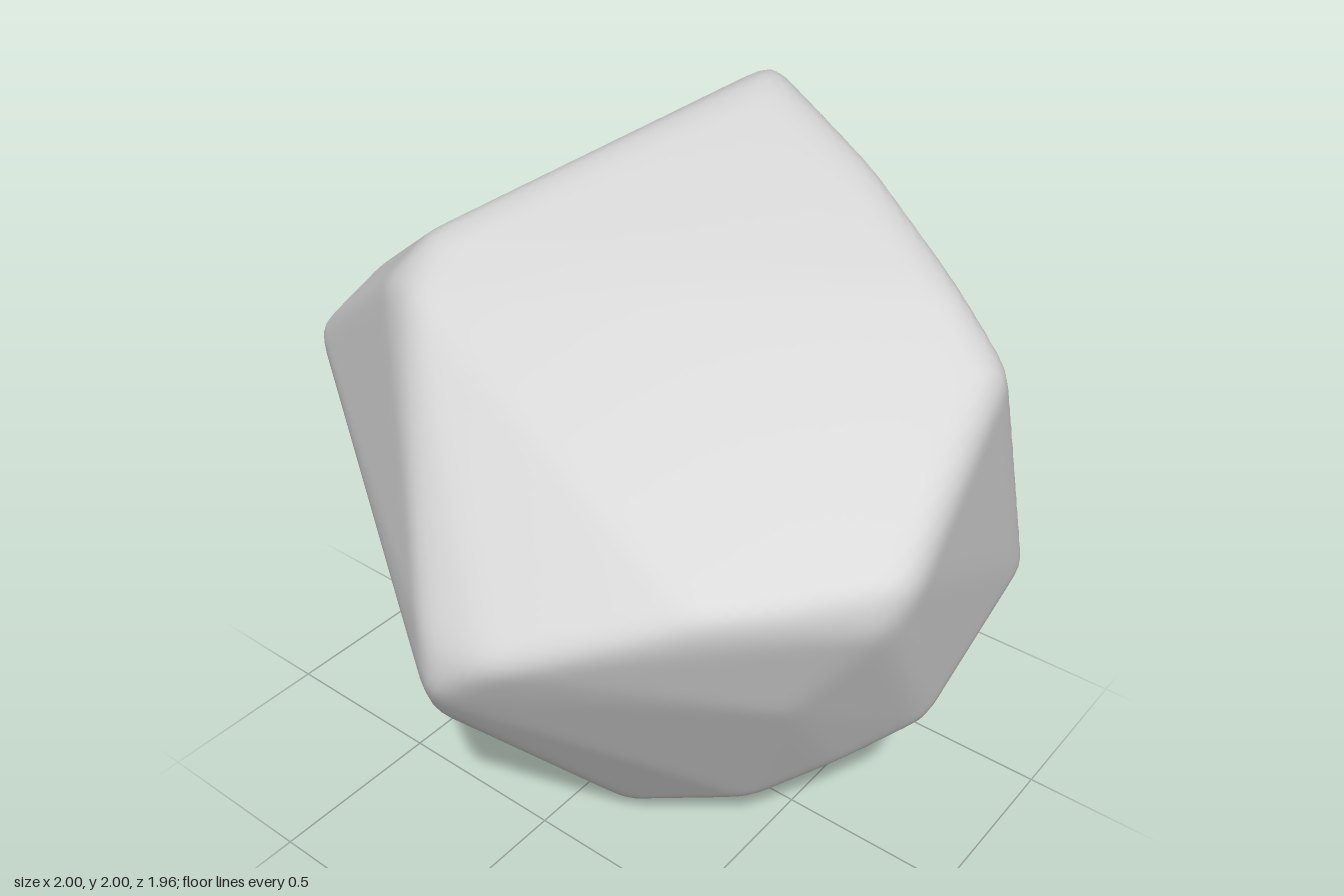
import * as THREE from 'three';
import { ConvexGeometry } from 'three/addons/geometries/ConvexGeometry.js';
import { mergeVertices } from 'three/addons/utils/BufferGeometryUtils.js';

// Corners of the cut boulder
const corners = [
  [0.24, 2.01, 0.16], [0.31, 2.0, 0.12],                        // peak
  [0.22, 1.84, 0.49], [0.14, 1.66, 0.78],                       // front ridge below the peak
  [-0.48, 1.73, -0.28], [-0.57, 1.62, -0.35], [-0.6, 1.63, -0.25], // upper left
  [0.65, 1.76, -0.18], [0.82, 1.65, -0.17], [0.88, 1.55, -0.18], // upper right
  [-0.35, 1.21, -0.9], [-0.1, 1.31, -0.9], [0.15, 1.38, -0.8],  // back upper edge
  [0.3, 0.87, -0.98], [0.38, 0.84, -0.91], [-0.1, 0.8, -0.97],  // back
  [-0.1, 0.54, -0.95], [-0.25, 0.58, -0.9],
  [1.01, 1.05, -0.28], [0.96, 1.0, -0.36],                      // right
  [0.97, 0.75, 0.12], [0.93, 0.59, 0.27], [0.83, 0.46, 0.42],
  [0.1, 1.54, 0.93], [-0.33, 1.2, 0.98], [-0.39, 1.1, 0.95],    // front
  [0.38, 0.82, 0.92], [-0.08, 0.61, 0.92],
  [-0.65, 1.13, 0.65], [-0.45, 0.8, 0.75],                      // front left
  [-0.2, 0.45, 0.74], [-0.25, 0.23, 0.53],
  [-1.01, 0.91, 0.15], [-0.96, 1.01, 0.28], [-0.98, 1.04, 0.12], // left
  [-0.95, 0.8, 0.1],
  [-0.52, 0.27, -0.36], [-0.26, 0.09, -0.37],                   // underside
  [-0.36, 0.1, 0.2], [-0.12, -0.01, 0.06], [-0.2, 0.01, 0.08],
];

// Outward planes of the hull, each scaled so that normal . point = 1
function hullPlanes() {
  const hull = new ConvexGeometry(corners.map(([x, y, z]) => new THREE.Vector3(x, y - 1, z)));
  const p = hull.attributes.position, planes = [], tri = new THREE.Triangle(), plane = new THREE.Plane();
  for (let i = 0; i < p.count; i += 3) {
    tri.setFromAttributeAndIndices(p, i, i + 1, i + 2);
    tri.getPlane(plane);
    if (Math.abs(plane.constant) > 1e-3) planes.push(plane.normal.clone().divideScalar(-plane.constant));
  }
  return planes;
}

function boulderGeometry(blur) {
  const planes = hullPlanes();
  const inverseRadius = (d) => planes.reduce((m, n) => Math.max(m, n.dot(d)), 0);
  let geo = new THREE.IcosahedronGeometry(1, 44);
  geo.deleteAttribute('normal');
  geo.deleteAttribute('uv');
  geo = mergeVertices(geo, 1e-4);
  const p = geo.attributes.position;
  const dir = new THREE.Vector3(), u = new THREE.Vector3(), v = new THREE.Vector3(), s = new THREE.Vector3();

  // Average the hull over a small ring around each direction to round its edges
  for (let i = 0; i < p.count; i++) {
    dir.fromBufferAttribute(p, i).normalize();
    u.set(0, 0, 0).setComponent(Math.abs(dir.y) < 0.7 ? 1 : 0, 1).cross(dir).normalize();
    v.crossVectors(dir, u);
    let sum = 2 * inverseRadius(dir);
    for (let k = 0; k < 10; k++) {
      const a = (k / 10) * Math.PI * 2, r = k % 2 ? blur : blur / 2;
      s.copy(dir).addScaledVector(u, r * Math.cos(a)).addScaledVector(v, r * Math.sin(a)).normalize();
      sum += inverseRadius(s);
    }
    // The small allowance makes up for what rounding takes off the corners
    dir.multiplyScalar(12.06 / sum);
    p.setXYZ(i, dir.x, dir.y, dir.z);
  }

  // Rest it on the ground, centred
  geo.center();
  geo.translate(0, geo.boundingBox.getSize(s).y / 2, 0);
  geo.computeVertexNormals();
  return geo;
}

export function createModel() {
  const group = new THREE.Group();
  group.name = 'rock';
  const boulder = new THREE.Mesh(boulderGeometry(0.05), new THREE.MeshStandardMaterial({ color: 0xcccccc }));
  boulder.name = 'boulder';
  group.add(boulder);
  return group;
}
